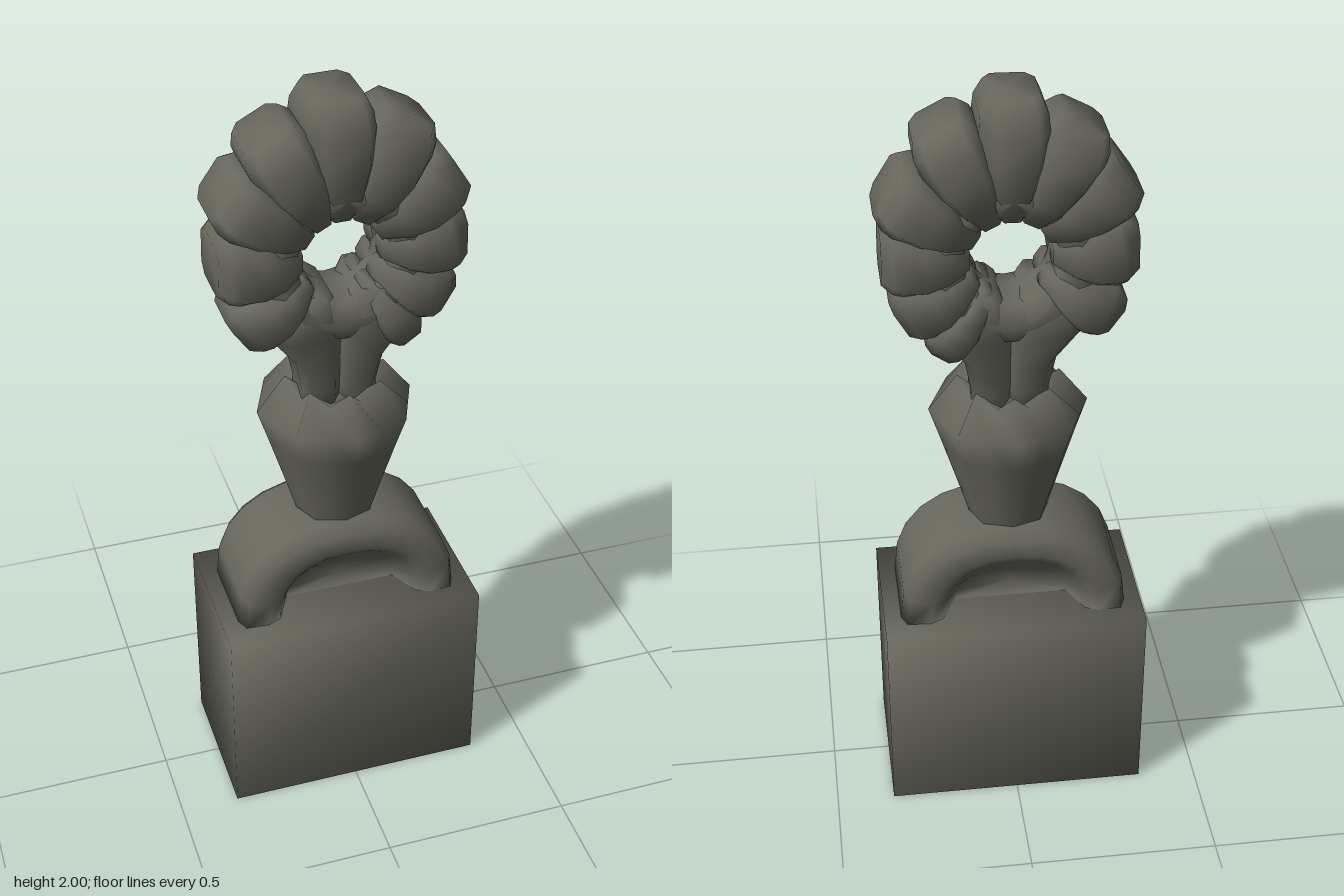
import * as THREE from 'three';
import { mergeVertices } from 'three/addons/utils/BufferGeometryUtils.js';

// Closed smooth solid through rows of points (all rows the same length), with fan caps.
function loft(rows) {
  const n = rows[0].length, pos = [], idx = [];
  rows.forEach(r => r.forEach(p => pos.push(...p)));
  for (let j = 0; j < rows.length - 1; j++) {
    for (let i = 0; i < n; i++) {
      const a = j * n + i, b = j * n + (i + 1) % n;
      idx.push(a, b, b + n, a, b + n, a + n);
    }
  }
  [0, rows.length - 1].forEach((j, end) => {
    const c = pos.length / 3;
    pos.push(...[0, 1, 2].map(k => rows[j].reduce((s, p) => s + p[k], 0) / n));
    for (let i = 0; i < n; i++) {
      const a = j * n + i, b = j * n + (i + 1) % n;
      idx.push(...(end ? [a, b, c] : [b, a, c]));
    }
  });
  // turn the faces outward if the signed volume is negative
  const v = i => new THREE.Vector3(pos[i * 3], pos[i * 3 + 1], pos[i * 3 + 2]);
  let volume = 0;
  for (let i = 0; i < idx.length; i += 3) volume += v(idx[i]).dot(v(idx[i + 1]).cross(v(idx[i + 2])));
  if (volume < 0) idx.reverse();
  const g = new THREE.BufferGeometry();
  g.setAttribute('position', new THREE.Float32BufferAttribute(pos, 3));
  g.setIndex(idx);
  g.computeVertexNormals();
  return g;
}

// Rectangle with chamfered corners, half sizes a and b
const chamfered = (a, b, k = 0.6) => [
  [a, b * k], [a * k, b], [-a * k, b], [-a, b * k],
  [-a, -b * k], [-a * k, -b], [a * k, -b], [a, -b * k]];

export function createModel() {
  const group = new THREE.Group();
  const stone = new THREE.MeshStandardMaterial({ color: 0x66665c });
  stone.name = 'darkStone';
  const add = (name, geometry) => {
    const mesh = new THREE.Mesh(geometry, stone);
    mesh.name = name;
    group.add(mesh);
    return mesh;
  };

  // Pedestal block with softly shaded corners
  let block = new THREE.BoxGeometry(0.69, 0.56, 0.406);
  block.deleteAttribute('normal');
  block.deleteAttribute('uv');
  block = mergeVertices(block);
  block.computeVertexNormals();
  add('pedestal', block).position.y = 0.28;

  // Arch with a recess front and back: half sizes x, y and depth z
  const half = [[0.15, 0.09, 0.05], [0.19, 0.175, 0.13], [0.225, 0.2, 0.147],
    [0.285, 0.245, 0.143], [0.3, 0.27, 0.11]];
  const archRows = [...half, ...[...half].reverse().map(([x, y, z]) => [x, y, -z])];
  add('arch', loft(archRows.map(([rx, ry, z]) => {
    const row = [];
    for (let i = 0; i <= 12; i++) {
      const a = Math.PI * i / 12, c = Math.cos(a), s = Math.sin(a);
      row.push([rx * Math.sign(c) * Math.abs(c) ** 0.85, 0.558 + ry * Math.max(s, 0) ** 0.85, z]);
    }
    return row;
  })));

  // Octagonal vase with a pointed rim: radius and height at corners, then between corners
  const flat = Math.cos(Math.PI / 8);
  const vase = [[0.1, 0.8], [0.108, 0.83], [0.135, 0.92], [0.175, 1.05], [0.204, 1.14]]
    .map(([r, y]) => [r, y, r * flat, y]);
  vase.push([0.13, 1.235, 0.105, 1.185], [0.08, 1.19, 0.07, 1.17]);
  add('vase', loft(vase.map(([r, y, r2, y2]) => Array.from({ length: 16 }, (_, i) => {
    const a = i * Math.PI / 8, q = i % 2 ? r2 : r;
    return [q * Math.cos(a), i % 2 ? y2 : y, q * Math.sin(a)];
  }))));

  // Two joined stems: centre x, height, half width, half depth
  const stem = [[0.05, 1.14, 0.05, 0.06], [0.047, 1.21, 0.05, 0.068], [0.056, 1.3, 0.058, 0.085],
    [0.087, 1.38, 0.088, 0.1], [0.09, 1.44, 0.088, 0.11], [0.08, 1.5, 0.05, 0.095]];
  for (const side of [-1, 1]) {
    add(side > 0 ? 'leftStem' : 'rightStem', loft(stem.map(([x, y, w, d]) =>
      chamfered(w, d).map(([u, v]) => [side * (x + u), y, v]))));
  }

  // Core of the wreath
  const core = new THREE.TorusGeometry(0.17, 0.072, 8, 20);
  core.scale(1, 1, 1.6);
  core.computeVertexNormals();
  add('wreathCore', core).position.y = 1.59;

  // Flared lobes around the wreath: angle in degrees, reach, width
  const lobes = [[91, 0.41, 1], [63, 0.38, 1], [32, 0.345, 1], [1, 0.312, 1], [-30, 0.31, 0.9],
    [-55, 0.31, 0.65], [118, 0.375, 1], [145, 0.345, 1], [179, 0.308, 1.05], [215, 0.315, 0.85]];
  lobes.forEach(([deg, reach, width], i) => {
    const span = reach - 0.1;
    // each step: share of reach, half width, half depth
    const steps = [[0, 0.03, 0.075], [0.25, 0.055, 0.12], [0.5, 0.075, 0.132],
      [0.75, 0.083, 0.122], [0.87, 0.08, 0.108], [1, 0.062, 0.083]];
    const lobe = add('wreathLobe' + (i + 1), loft(steps.map(([t, w, d]) =>
      chamfered(w * width, d, 0.65).map(([u, v]) => [0.1 + span * t, u, v]))));
    lobe.position.y = 1.59;
    lobe.rotation.z = THREE.MathUtils.degToRad(deg);
  });

  return group;
}
